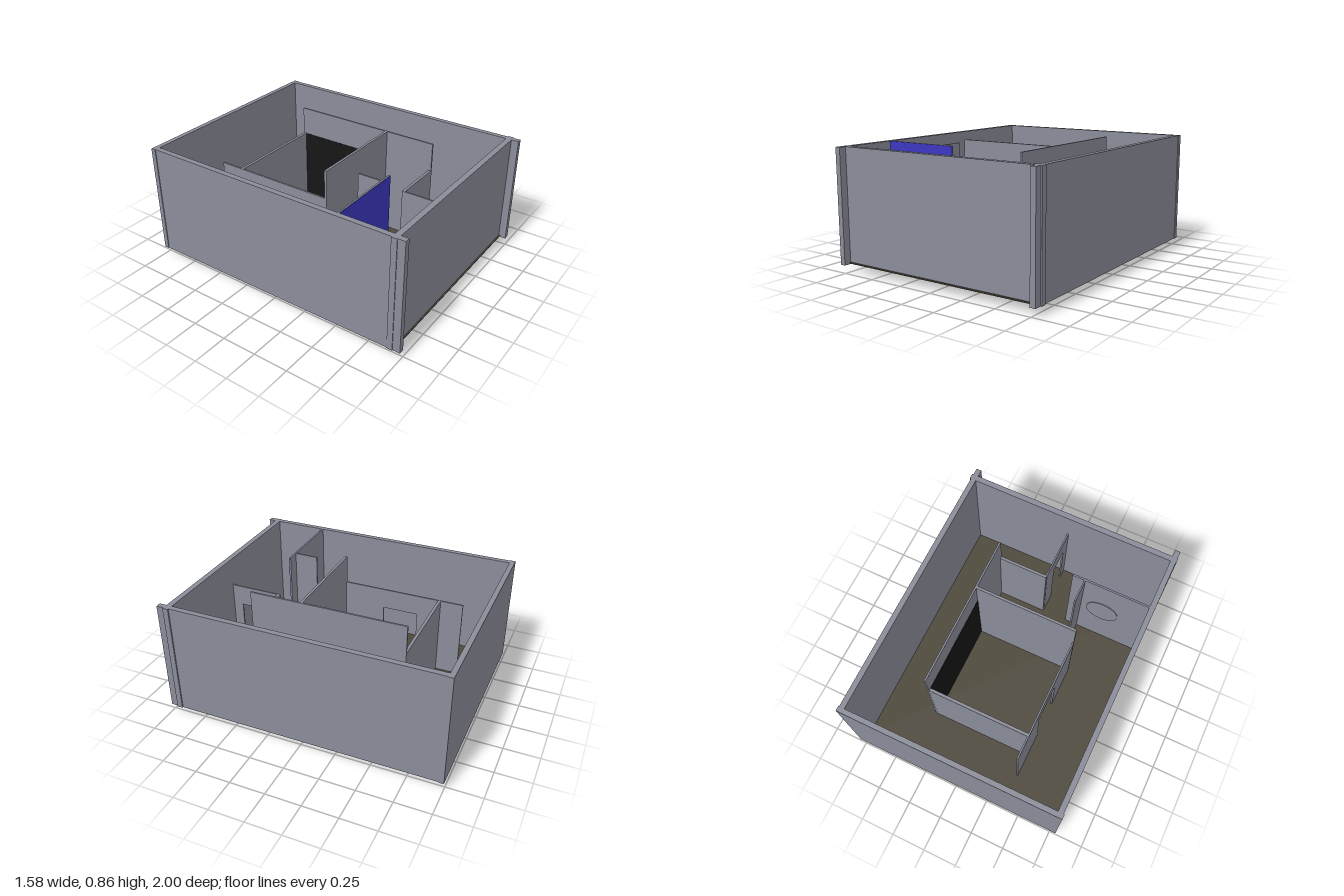
import * as THREE from 'three';

const mat = (name, color) => {
  const m = new THREE.MeshStandardMaterial({ color });
  m.name = name;
  return m;
};

export function createModel() {
  const group = new THREE.Group();
  const grey = mat('wall grey', 0x8a8c99);
  const brown = mat('floor brown', 0x4d493c);
  const blue = mat('panel blue', 0x3c37c0);
  const black = mat('panel black', 0x161616);

  const BASE = 0.055, FULL = 0.855, LOW = 0.65, DOOR = 0.5;

  // box from its limits on each axis
  const box = (name, material, x0, x1, y0, y1, z0, z1) => {
    const mesh = new THREE.Mesh(new THREE.BoxGeometry(x1 - x0, y1 - y0, z1 - z0), material);
    mesh.position.set((x0 + x1) / 2, (y0 + y1) / 2, (z0 + z1) / 2);
    mesh.name = name;
    group.add(mesh);
    return mesh;
  };
  const wall = (name, x0, x1, z0, z1, top = FULL, bottom = BASE) =>
    box(name, grey, x0, x1, bottom, top, z0, z1);

  // floor, showing a thin lip below the front wall
  box('floor', brown, -0.76, 0.76, 0.06, 0.068, -0.975, 0.957);

  // outer walls
  wall('backWall', -0.795, 0.785, -1, -0.965);
  wall('leftWall', 0.742, 0.78, -0.966, 1);
  wall('rightWall', -0.79, -0.752, -0.966, 1);
  wall('frontWall', -0.753, 0.743, 0.908, 0.948);
  wall('frontWallEndLeft', 0.779, 0.789, 0.908, 0.948);
  wall('frontWallEndRight', -0.795, -0.789, 0.908, 0.948);

  // tall partitions
  wall('tallPartitionLeft', 0.36, 0.373, -0.583, 0.535);
  wall('tallPartitionMiddle', -0.378, 0.361, 0.15, 0.168);
  wall('tallPartitionFront', -0.753, -0.19, 0.52, 0.531);
  wall('tallPartitionStub', -0.286, -0.275, 0.35, 0.521);

  // low partitions
  wall('lowPartitionBack', -0.37, 0.361, -0.582, -0.561, LOW);
  wall('lowPartitionFront', 0, 0.361, 0.516, 0.536, LOW);

  // low partitions with a doorway: two jambs and a header
  const doorWall = (name, x0, x1, z0, d0, d1, z1) => {
    wall(name + 'BackPart', x0, x1, z0, d0, LOW);
    wall(name + 'FrontPart', x0, x1, d1, z1, LOW);
    wall(name + 'Header', x0, x1, d0, d1, LOW, DOOR);
  };
  doorWall('rightDoorPartition', -0.38, -0.368, -0.745, -0.41, -0.15, 0.151);
  doorWall('frontDoorPartition', -0.003, 0.008, 0.53, 0.665, 0.835, 0.909);

  // tabs below the right door partition
  for (const [z0, zm, z1] of [[-0.1, -0.04, 0.02], [-0.54, -0.48, -0.43]]) {
    box('tab', grey, -0.38, -0.368, 0, 0.046, z0, z1);
    box('tabNeck', grey, -0.38, -0.368, 0.046, 0.062, z0 < -0.3 ? z0 : zm, z0 < -0.3 ? zm : z1);
  }

  // painted panels
  box('bluePanel', blue, -0.752, -0.19, 0.069, FULL - 0.002, 0.531, 0.534);
  box('blackPanel', black, 0.357, 0.36, 0.069, LOW, -0.56, 0.15);

  // thin disc on the back of the front partition
  const disc = new THREE.Mesh(new THREE.CylinderGeometry(0.12, 0.12, 0.006, 32), grey);
  disc.rotation.x = Math.PI / 2;
  disc.position.set(-0.45, 0.49, 0.518);
  disc.name = 'wallDisc';
  group.add(disc);

  return group;
}
